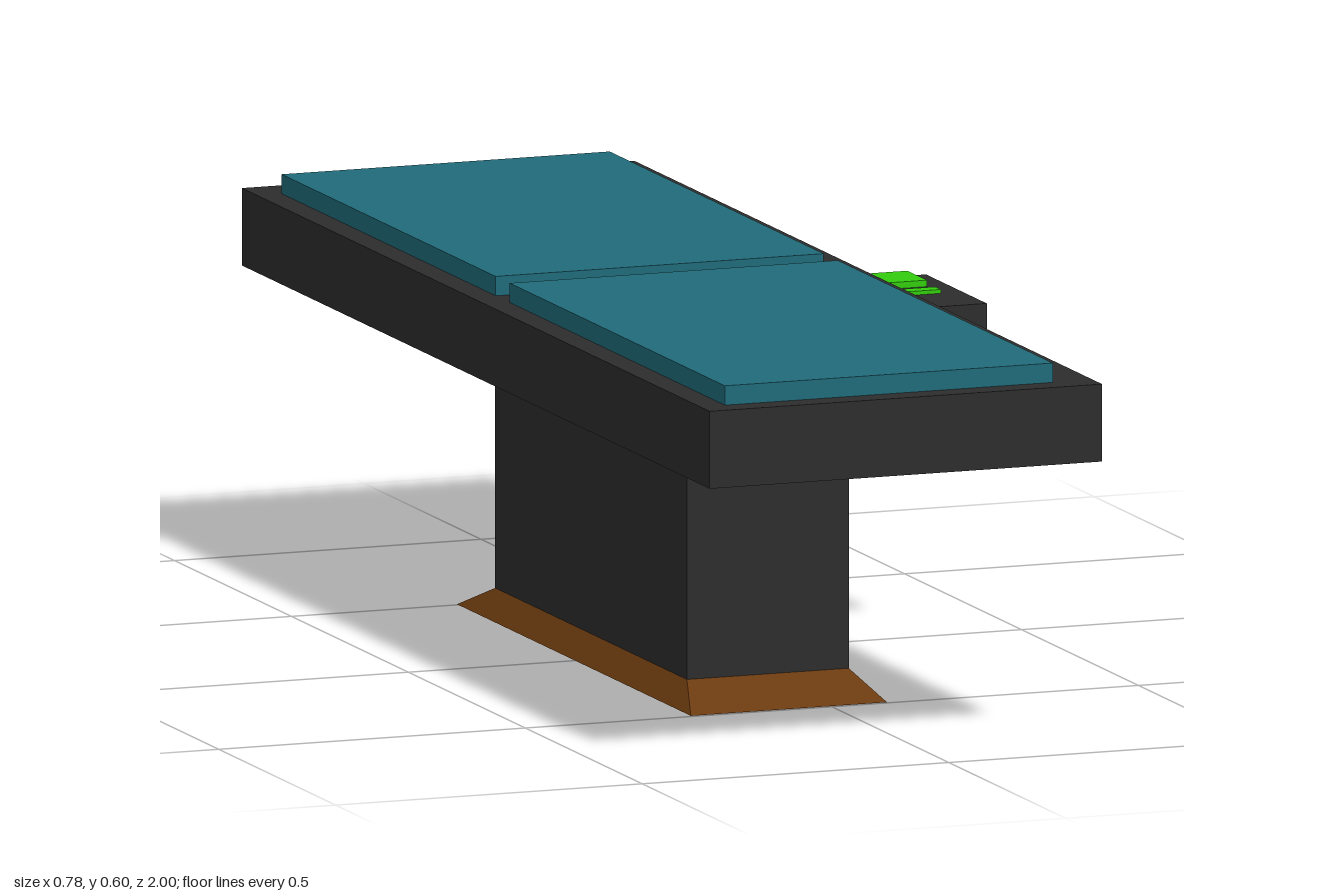
import * as THREE from 'three';

const paint = (color) => new THREE.MeshStandardMaterial({ color });

// Box given by its limits on each axis
function block(name, [x0, x1], [y0, y1], [z0, z1], material) {
  const geometry = new THREE.BoxGeometry(x1 - x0, y1 - y0, z1 - z0);
  const mesh = new THREE.Mesh(geometry, material);
  mesh.position.set((x0 + x1) / 2, (y0 + y1) / 2, (z0 + z1) / 2);
  mesh.name = name;
  return mesh;
}

// Box whose top face is scaled in to make sloping sides
function taperedBlock(name, xs, ys, zs, topX, topZ, material) {
  const mesh = block(name, xs, ys, zs, material);
  const p = mesh.geometry.attributes.position;
  for (let i = 0; i < p.count; i++) {
    if (p.getY(i) > 0) p.setXYZ(i, p.getX(i) * topX, p.getY(i), p.getZ(i) * topZ);
  }
  mesh.geometry.computeVertexNormals();
  return mesh;
}

export function createModel() {
  const model = new THREE.Group();
  model.name = 'examinationTable';
  const dark = paint(0x2d2d2d);
  const teal = paint(0x206b7a);
  const brown = paint(0x6b3a10);
  const green = paint(0x33cc0d);

  // Foot: sloping skirt with a dark underside
  const skirt = taperedBlock('footSkirt', [-0.23, 0.09], [0.001, 0.04], [-0.5, 0.5], 0.264 / 0.32, 0.82, brown);
  const underside = new THREE.Mesh(new THREE.PlaneGeometry(0.32, 1), dark);
  underside.name = 'footUnderside';
  underside.rotation.x = Math.PI / 2;
  underside.position.x = -0.07;
  model.add(skirt, underside);

  // Pedestal and table top
  model.add(block('pedestal', [-0.202, 0.062], [0.04, 0.45], [-0.41, 0.41], dark));
  model.add(block('tableTop', [-0.39, 0.25], [0.45, 0.57], [-1, 1], dark));

  // Two cushions
  model.add(block('rearCushion', [-0.35, 0.185], [0.57, 0.6], [-0.935, -0.02], teal));
  model.add(block('frontCushion', [-0.35, 0.185], [0.57, 0.6], [0.04, 0.96], teal));

  // Side control panel with its screen and button
  const panel = new THREE.Group();
  panel.name = 'controlPanel';
  panel.add(block('panelBody', [0.25, 0.39], [0.48, 0.537], [-0.12, 0.14], dark));
  panel.add(block('panelScreen', [0.285, 0.355], [0.537, 0.547], [-0.108, -0.024], green));
  panel.add(block('panelButton', [0.285, 0.355], [0.537, 0.543], [0.012, 0.036], green));
  model.add(panel);

  return model;
}
